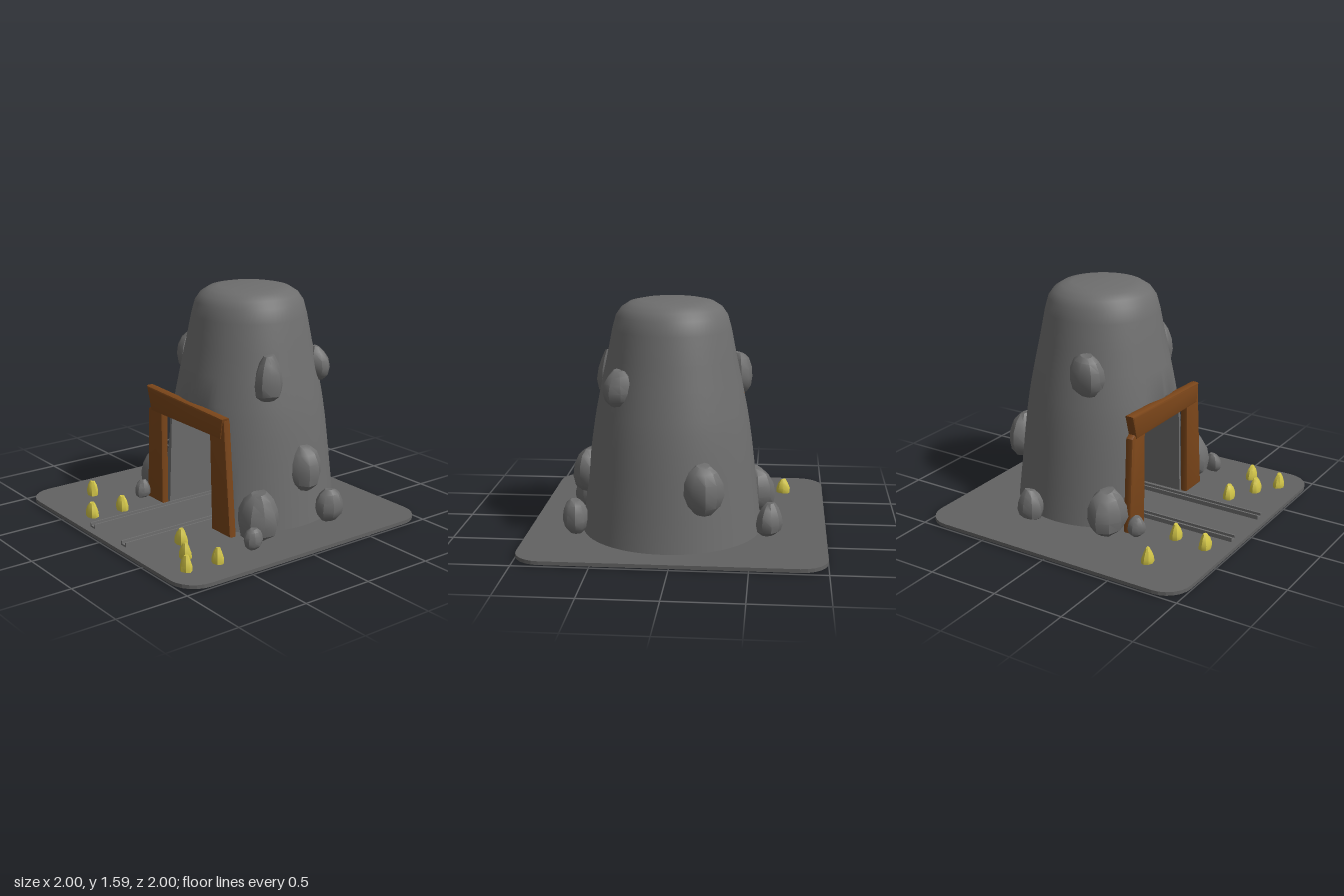
import * as THREE from 'three';
import { mergeVertices, toCreasedNormals } from 'three/addons/utils/BufferGeometryUtils.js';

const mat = (color, side = THREE.FrontSide) => new THREE.MeshStandardMaterial({ color, side });
const stone = mat(0x6e6e6e);
const stoneOpen = mat(0x6e6e6e, THREE.DoubleSide);
const ground = mat(0x626262);
const wood = mat(0x7a4519);
const gold = mat(0xd2c548);

function add(parent, name, geometry, material) {
  const mesh = new THREE.Mesh(geometry, material);
  mesh.name = name;
  parent.add(mesh);
  return mesh;
}

const polygon = (points) => new THREE.Shape(points.map(([x, y]) => new THREE.Vector2(x, y)));

// Plank outline in the xy plane with softened edges, spanning z0..z1
function plank(points, z0, z1, bevel = 0.012) {
  const geo = new THREE.ExtrudeGeometry(polygon(points), {
    depth: z1 - z0 - 2 * bevel, bevelSize: bevel, bevelOffset: -bevel,
    bevelThickness: bevel, bevelSegments: 2,
  });
  return toCreasedNormals(geo.translate(0, 0, z0 + bevel), 0.7);
}

// Lumpy stone, wider low down, fitted to a given size
function lump(size, seed, taper, cols = 9, rows = 7) {
  let geo = new THREE.SphereGeometry(1, cols, rows);
  geo.deleteAttribute('uv');
  geo.deleteAttribute('normal');
  geo = mergeVertices(geo, 1e-4);
  const p = geo.attributes.position;
  for (let i = 0; i < p.count; i++) {
    const x = p.getX(i), y = p.getY(i), z = p.getZ(i);
    const bump = 1 + 0.09 * Math.sin(3.1 * x + seed * 2.3) * Math.cos(2.7 * z + 1.9 * y + seed);
    const w = (1 - taper * y) * bump;
    p.setXYZ(i, x * w, THREE.MathUtils.clamp(y * 1.1, -0.95, 0.97) * bump, z * w);
  }
  geo.center();
  geo.computeBoundingBox();
  const d = geo.boundingBox.getSize(new THREE.Vector3());
  geo.scale(size[0] / d.x, size[1] / d.y, size[2] / d.z);
  return toCreasedNormals(geo, 0.6);
}

// Tapered hill with a flattened front and a doorway left open
function hillGeometry() {
  const cx = 0.045, cz = -0.21, faceZ = 0.265, front = 16, back = 56, n = front + back;
  const profile = [[0.035, 0.607], [0.25, 0.583], [0.5, 0.555], [0.67, 0.535], [0.79, 0.517],
    [0.86, 0.505], [1.05, 0.467], [1.22, 0.43], [1.4, 0.395], [1.49, 0.37], [1.54, 0.335],
    [1.575, 0.28], [1.59, 0.21], [1.59, 0.001]];
  const doorRow = 3;
  const pos = [], idx = [];
  profile.forEach(([y, r], j) => {
    const edge = j <= doorRow ? Math.asin((0.295 - 0.04 * y) / r) : 0.53;
    for (let i = 0; i < n; i++) {
      const t = i < front ? -edge + (2 * edge * i) / front
        : edge + ((2 * Math.PI - 2 * edge) * (i - front)) / back;
      let z = cz + r * Math.cos(t);
      if (y < 0.8) z = Math.min(z, faceZ);
      pos.push(cx + r * Math.sin(t), y, z);
    }
    if (j === 0) return;
    for (let i = j <= doorRow ? front : 0; i < n; i++) {
      const a = (j - 1) * n + i, b = (j - 1) * n + ((i + 1) % n);
      idx.push(a, b, b + n, a, b + n, a + n);
    }
  });
  const geo = new THREE.BufferGeometry();
  geo.setAttribute('position', new THREE.Float32BufferAttribute(pos, 3));
  geo.setIndex(idx);
  return toCreasedNormals(geo, 0.6);
}

export function createModel() {
  const model = new THREE.Group();
  model.name = 'mineEntrance';

  // Ground slab with rounded corners
  const slab = new THREE.Shape();
  const c = 0.82;
  [[c, c], [-c, c], [-c, -c], [c, -c]].forEach(([x, y], k) =>
    slab.absarc(x, y, 0.18, (k * Math.PI) / 2, ((k + 1) * Math.PI) / 2));
  const slabGeo = new THREE.ExtrudeGeometry(slab, { depth: 0.025, bevelEnabled: false, curveSegments: 3 });
  add(model, 'groundSlab', slabGeo.rotateX(-Math.PI / 2).translate(0, 0.01, 0), ground);

  add(model, 'hill', hillGeometry(), stoneOpen);

  // Tunnel lining and end wall
  const lining = polygon([[-0.275, 0.03], [0.34, 0.03], [0.305, 0.69], [-0.235, 0.69]]);
  lining.holes.push(polygon([[-0.25, 0.03], [-0.215, 0.665], [0.29, 0.665], [0.32, 0.03]]));
  const liningGeo = new THREE.ExtrudeGeometry(lining, { depth: 0.54, bevelEnabled: false });
  add(model, 'tunnelLining', liningGeo.translate(0, 0, -0.28), stoneOpen);
  add(model, 'tunnelEndWall', new THREE.BoxGeometry(0.6, 0.66, 0.02).translate(0.035, 0.36, -0.28), stone);

  // Timber door frame
  const frame = new THREE.Group();
  frame.name = 'timberFrame';
  model.add(frame);
  add(frame, 'rightPost', plank([[-0.445, 0.035], [-0.257, 0.035], [-0.255, 0.72], [-0.37, 0.735], [-0.415, 0.705]], 0.265, 0.32), wood);
  add(frame, 'leftPost', plank([[0.325, 0.035], [0.527, 0.035], [0.458, 0.82], [0.3, 0.82]], 0.265, 0.32), wood);
  add(frame, 'lintel', plank([[-0.375, 0.695], [0.432, 0.692], [0.455, 0.835], [-0.427, 0.868]], 0.262, 0.33, 0.018), wood);

  // Channel-shaped rails
  const channel = [[-0.028, 0], [0.028, 0], [0.028, 0.03], [0.017, 0.03], [0.017, 0.012],
    [-0.017, 0.012], [-0.017, 0.03], [-0.028, 0.03]];
  for (const x of [-0.165, 0.22]) {
    const rail = new THREE.ExtrudeGeometry(polygon(channel), { depth: 1.1, bevelEnabled: false });
    add(model, 'rail', rail, stone).position.set(x, 0.037, -0.15);
  }

  // Boulders: centre, then size
  const boulders = [
    [[-0.4, 1.08, -0.05], [0.17, 0.28, 0.24]],
    [[0.49, 1.065, -0.02], [0.17, 0.31, 0.2]],
    [[0.35, 1.06, -0.55], [0.22, 0.24, 0.17]],
    [[0.6, 0.435, -0.25], [0.22, 0.31, 0.24]],
    [[0.68, 0.15, -0.42], [0.18, 0.23, 0.21]],
    [[0.635, 0.195, 0.17], [0.27, 0.33, 0.27]],
    [[-0.52, 0.2, 0.18], [0.27, 0.32, 0.26]],
    [[-0.62, 0.15, -0.37], [0.18, 0.23, 0.2]],
    [[-0.2, 0.45, -0.73], [0.27, 0.33, 0.21]],
    [[0.75, 0.105, 0.3], [0.1, 0.14, 0.13]],
    [[-0.44, 0.105, 0.365], [0.11, 0.14, 0.12]],
  ];
  boulders.forEach(([at, size], i) =>
    add(model, 'boulder', lump(size, i + 1, 0.2), stone).position.set(...at));

  // Gold nuggets
  const nuggets = [[-0.71, 0.62], [-0.33, 0.61], [-0.35, 0.84], [0.4, 0.62], [0.6, 0.73], [0.78, 0.61], [0.76, 0.84]];
  nuggets.forEach(([x, z], i) =>
    add(model, 'goldNugget', lump([0.1, 0.14, 0.075], i * 0.3, 0.35, 8, 6), gold).position.set(x, 0.07, z));

  return model;
}
